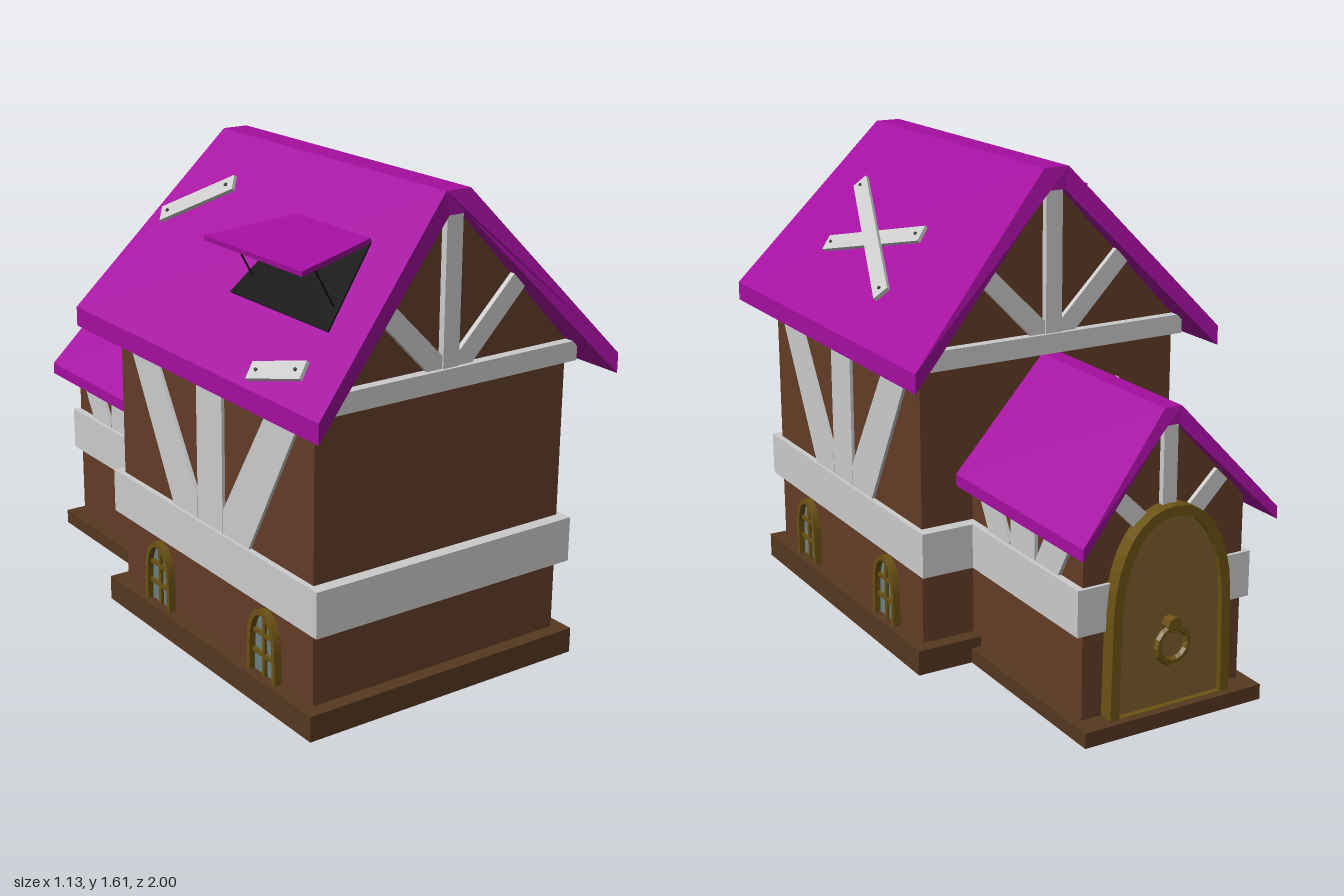
import * as THREE from 'three';

const mat = (color) => new THREE.MeshStandardMaterial({ color, flatShading: true });

export function createModel() {
  const house = new THREE.Group();
  const M = {
    wall: mat(0x633c27), base: mat(0x563820), trim: mat(0xcccccc), roof: mat(0xa50fa0),
    frame: mat(0x6b5214), door: mat(0x7d5c2c), glass: mat(0x6d7f80), dark: mat(0x0c0c0c), nail: mat(0x444444),
  };

  const add = (name, geo, material, parent = house) => {
    const mesh = new THREE.Mesh(geo, material);
    mesh.name = name;
    parent.add(mesh);
    return mesh;
  };
  // Box from its lower and upper limits
  const box = (name, material, x0, x1, y0, y1, z0, z1, parent) => add(name,
    new THREE.BoxGeometry(x1 - x0, y1 - y0, z1 - z0)
      .translate((x0 + x1) / 2, (y0 + y1) / 2, (z0 + z1) / 2), material, parent);
  const poly = (pts) => new THREE.Shape(pts.map(([x, y]) => new THREE.Vector2(x, y)));
  const extrude = (shape, depth) =>
    new THREE.ExtrudeGeometry(shape, { depth, bevelEnabled: false, curveSegments: 8 });

  // Panel standing on a gable (dir +1 front, -1 back)
  const gablePanel = (name, pts, z, depth, dir) => {
    const g = extrude(poly(pts), depth);
    g.translate(0, 0, dir > 0 ? z : z - depth);
    return add(name, g, M.trim);
  };
  // Panel standing on a side wall, points given as [z, y]
  const sidePanel = (name, pts, x, depth, side) => {
    const g = extrude(poly(pts.map(([z, y]) => [-side * z, y])), depth);
    g.rotateY(side * Math.PI / 2).translate(side * x, 0, 0);
    return add(name, g, M.trim);
  };

  // Foundations, walls and timber bands
  box('mainBase', M.base, -0.52, 0.52, 0, 0.085, -0.297, 0.905);
  box('annexBase', M.base, -0.325, 0.325, 0, 0.05, -0.985, -0.29);
  const walls = (name, w, eave, top, z0, z1) => add(name,
    extrude(poly([[-w, 0], [w, 0], [w, eave], [0.03, top], [-0.03, top], [-w, eave]]), z1 - z0)
      .translate(0, 0, z0), M.wall);
  walls('mainWalls', 0.477, 1.07, 1.535, -0.247, 0.857);
  walls('annexWalls', 0.29, 0.665, 0.945, -0.908, -0.24);
  box('mainBand', M.trim, -0.497, 0.497, 0.33, 0.48, -0.29, 0.9);
  box('annexBand', M.trim, -0.315, 0.315, 0.33, 0.48, -0.92, -0.28);

  // Roofs: a bent slab whose ends lean in toward the ridge
  const roof = (name, e, r, yLow, yEave, yTop, yIn, front, back) => {
    const g = extrude(poly([[-e, yLow], [-e, yEave], [-r, yTop], [r, yTop], [e, yEave], [e, yLow],
      [r * 0.7, yIn], [-r * 0.7, yIn]]), 1);
    const p = g.attributes.position;
    for (let i = 0; i < p.count; i++) {
      const t = Math.min(1, Math.max(0, (Math.abs(p.getX(i)) - r) / (e - r)));
      const end = p.getZ(i) > 0.5 ? front : back;
      p.setZ(i, end[0] + (end[1] - end[0]) * t);
    }
    g.computeVertexNormals();
    return add(name, g, M.roof);
  };
  roof('mainRoof', 0.565, 0.045, 0.98, 1.045, 1.608, 1.535, [0.89, 1.0], [-0.28, -0.39]);
  roof('annexRoof', 0.35, 0.03, 0.605, 0.645, 1.0, 0.945, [-0.24, -0.24], [-0.935, -1.0]);

  // Gable timbers
  for (const [dir, z] of [[1, 0.85], [-1, -0.24]]) {
    const zf = z + dir * 0.04;
    box('gableBeam', M.trim, -0.497, 0.497, 1.005, 1.07, Math.min(z, zf), Math.max(z, zf));
    gablePanel('gablePost', [[-0.03, 1.07], [0.03, 1.07], [0.03, 1.535], [-0.03, 1.535]], z, 0.03, dir);
    for (const s of [-1, 1]) {
      gablePanel('gableBrace', [[0.285, 1.275], [0.24, 1.32], [0.03, 1.11], [0.03, 1.07], [0.085, 1.07]]
        .map(([x, y]) => [s * x, y]), z, 0.025, dir);
    }
  }
  gablePanel('annexPost', [[-0.025, 0.6], [0.025, 0.6], [0.025, 0.945], [-0.025, 0.945]], -0.9, 0.028, -1);
  for (const s of [-1, 1]) {
    gablePanel('annexGableBrace', [[0.215, 0.735], [0.175, 0.775], [0.025, 0.63], [0.025, 0.58], [0.06, 0.58]]
      .map(([x, y]) => [s * x, y]), -0.9, 0.023, -1);
  }

  // Side timbers: a post with a brace leaning away on each side
  const sideTimbers = (name, side, x, depth, zc, post, brace, top) => {
    sidePanel(name + 'Post', [[zc - post, 0.47], [zc + post, 0.47], [zc + post, top], [zc - post, top]], x, depth, side);
    for (const s of [-1, 1]) {
      sidePanel(name + 'Brace', brace.map(([z, y]) => [zc + s * z, y]), x, depth, side);
    }
  };
  for (const side of [-1, 1]) {
    sideTimbers('mainSide', side, 0.47, 0.018, 0.309, 0.073,
      [[0.53, 1.05], [0.378, 1.05], [0.076, 0.56], [0.076, 0.48], [0.22, 0.48]], 1.05);
    sideTimbers('annexSide', side, 0.285, 0.017, -0.58, 0.072,
      [[0.305, 0.65], [0.172, 0.65], [0.08, 0.49], [0.08, 0.48], [0.208, 0.48]], 0.65);
  }

  // Arched outline for windows and door
  const arch = (w, h, y0 = 0) => {
    const s = new THREE.Shape();
    s.moveTo(-w, y0);
    s.lineTo(w, y0);
    s.lineTo(w * 0.97, h * 0.52);
    s.bezierCurveTo(w * 0.93, h * 0.82, w * 0.55, h, 0, h);
    s.bezierCurveTo(-w * 0.55, h, -w * 0.93, h * 0.82, -w * 0.97, h * 0.52);
    s.closePath();
    return s;
  };
  const archFrame = (w, h, t, depth) => {
    const s = arch(w, h);
    s.holes.push(arch(w - t, h - t, 0.002));
    return extrude(s, depth);
  };

  // Windows
  for (const side of [-1, 1]) {
    for (const z of [0.614, -0.007]) {
      const win = new THREE.Group();
      win.name = 'window';
      add('windowFrame', archFrame(0.078, 0.23, 0.017, 0.033), M.frame, win);
      add('windowPane', extrude(arch(0.07, 0.222), 0.012), M.glass, win);
      box('windowBar', M.frame, -0.007, 0.007, 0, 0.22, 0.01, 0.022, win);
      for (const y of [0.075, 0.145]) box('windowBar', M.frame, -0.068, 0.068, y - 0.007, y + 0.007, 0.01, 0.022, win);
      win.position.set(side * 0.47, 0.08, z);
      win.rotation.y = side * Math.PI / 2;
      house.add(win);
    }
  }

  // Door with ring handle, facing the back
  const door = new THREE.Group();
  door.name = 'door';
  add('doorFrame', archFrame(0.22, 0.65, 0.032, 0.055), M.frame, door);
  add('doorLeaf', extrude(arch(0.2, 0.63), 0.035), M.door, door);
  add('handleMount', new THREE.CylinderGeometry(0.026, 0.026, 0.04, 8)
    .rotateX(Math.PI / 2).translate(0, 0.27, 0.05), M.frame, door);
  add('handleRing', new THREE.TorusGeometry(0.055, 0.013, 6, 14).translate(0, 0.205, 0.056), M.frame, door);
  door.position.set(0, 0.05, -0.905);
  door.rotation.y = Math.PI;
  house.add(door);

  // Repair planks nailed on a roof slope, ends given as [x, z]
  const mainY = (x) => 1.608 - (Math.abs(x) - 0.045) * 1.083;
  const annexY = (x) => 1.0 - (Math.abs(x) - 0.03) * 1.109;
  const plank = (yAt, a, b, width, lift) => {
    const p = new THREE.Vector3(a[0], yAt(a[0]), a[1]);
    const q = new THREE.Vector3(b[0], yAt(b[0]), b[1]);
    const len = p.distanceTo(q);
    const d = q.clone().sub(p).normalize();
    const n = new THREE.Vector3(Math.sign(a[0]) * 1.09, 1, 0).normalize();
    const s = new THREE.Vector3().crossVectors(d, n);
    const g = new THREE.Group();
    g.name = 'repairPlank';
    add('board', new THREE.BoxGeometry(len, 0.014, width), M.trim, g);
    for (const e of [-1, 1]) {
      add('nail', new THREE.CylinderGeometry(0.006, 0.006, 0.006, 6)
        .translate(e * (len / 2 - 0.03), 0.009, 0), M.nail, g);
    }
    g.applyMatrix4(new THREE.Matrix4().makeBasis(d, n, s)
      .setPosition(p.add(q).multiplyScalar(0.5).addScaledVector(n, lift)));
    house.add(g);
  };
  plank(mainY, [0.28, 0.085], [0.385, 0.6], 0.06, 0.006);
  plank(mainY, [0.445, 0.04], [0.215, 0.65], 0.06, 0.02);
  plank(mainY, [-0.29, -0.275], [-0.165, -0.025], 0.06, 0.006);
  plank(mainY, [-0.53, 0.615], [-0.485, 0.825], 0.06, 0.006);
  plank(annexY, [-0.14, -0.81], [-0.31, -0.42], 0.06, 0.006);
  plank(annexY, [-0.23, -0.455], [-0.055, -0.575], 0.06, 0.006);

  // Roof hatch: dark opening, raised flap and its two props
  const hatch = (name, dx, dy, depth, material) => {
    const d = new THREE.Vector3(dx, dy, 0).normalize();
    const z = new THREE.Vector3(0, 0, 1);
    const g = extrude(poly([[0, 0.37], [0.296, 0.3], [0.296, 0.81], [0, 0.74]]), depth);
    g.applyMatrix4(new THREE.Matrix4().makeBasis(d, z, d.clone().cross(z))
      .setPosition(-0.195, mainY(-0.195), 0));
    return add(name, g, material);
  };
  hatch('hatchOpening', -1, -1.083, 0.005, M.dark);
  hatch('hatchFlap', -0.29, -0.04, 0.016, M.roof);
  for (const z of [0.345, 0.765]) {
    const line = new THREE.LineCurve3(new THREE.Vector3(-0.42, 1.416, z), new THREE.Vector3(-0.345, 1.283, z));
    add('hatchProp', new THREE.TubeGeometry(line, 1, 0.003, 5), M.dark);
  }
  return house;
}
